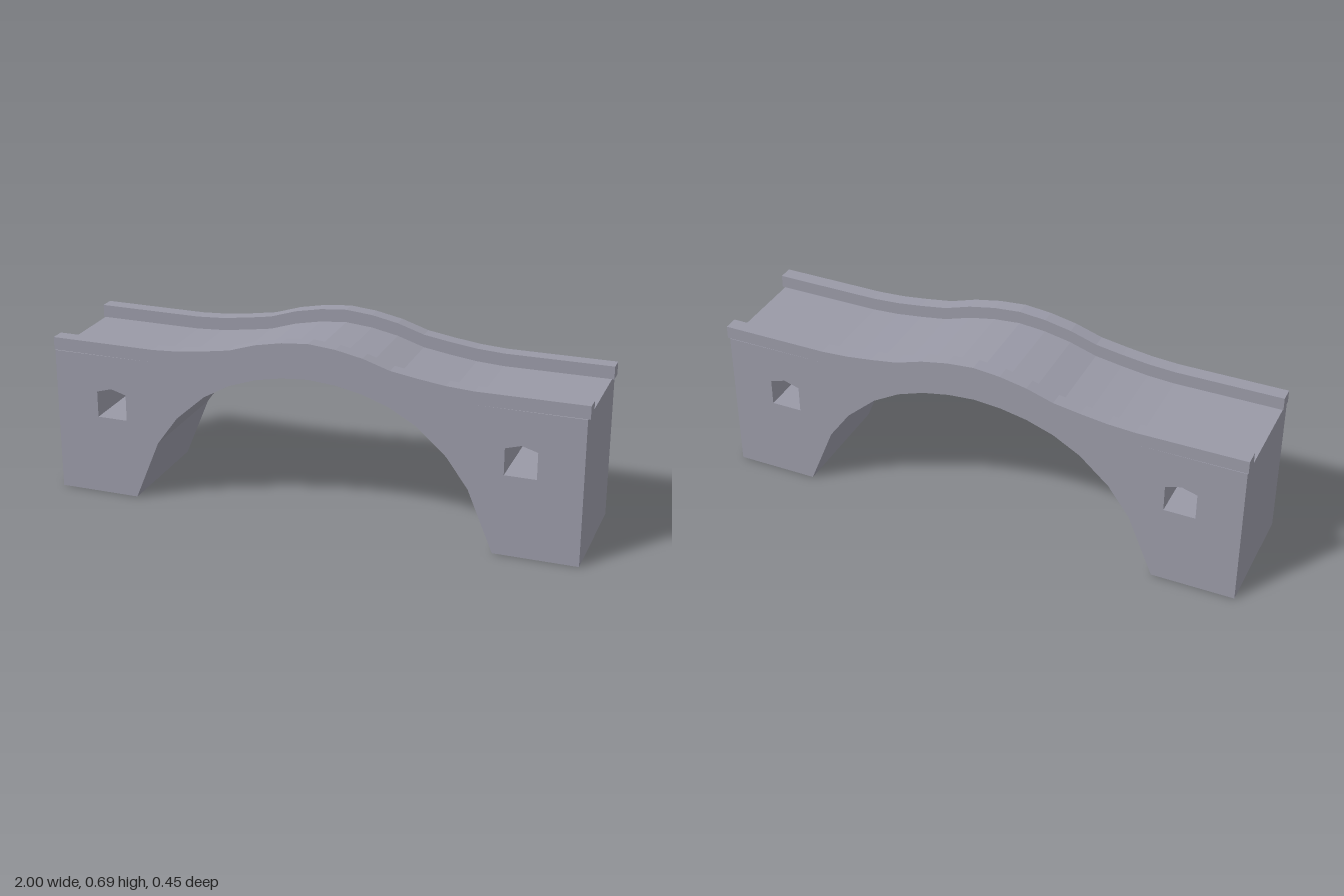
import * as THREE from 'three';

const HALF_DEPTH = 0.226;   // half width of the bridge
const CURB_WIDTH = 0.054;
const CURB_HEIGHT = 0.048;

// right halves of the roadway hump and the arch opening, from the crown outwards
const HUMP = [[0, 0.643], [0.1, 0.634], [0.2, 0.614], [0.3, 0.582], [0.4, 0.566], [0.5, 0.553], [0.6, 0.547]];
const ARCH = [[0, 0.558], [0.1, 0.55], [0.2, 0.53], [0.3, 0.495], [0.4, 0.438], [0.51, 0.34], [0.59, 0.23], [0.685, 0]];

// full left-to-right line from a mirrored half
const mirrored = (half, shift = 0) => [
  ...half.slice(1).reverse().map(([x, y]) => [-x + shift, y]),
  ...half.map(([x, y]) => [x + shift, y]),
];
const toPoints = (list) => list.map(([x, y]) => new THREE.Vector2(x, y));

// small opening with a pointed head
function windowHole(x) {
  return new THREE.Path(toPoints([
    [x - 0.058, 0.303], [x - 0.058, 0.403], [x, 0.42], [x + 0.058, 0.403], [x + 0.058, 0.303],
  ]));
}

function extruded(shape, depth, material, name) {
  const geometry = new THREE.ExtrudeGeometry(shape, { depth, bevelEnabled: false });
  geometry.translate(0, 0, -depth / 2);
  const mesh = new THREE.Mesh(geometry, material);
  mesh.name = name;
  return mesh;
}

export function createModel() {
  const group = new THREE.Group();
  group.name = 'archBridge';
  const stone = new THREE.MeshStandardMaterial({ color: 0x9999a6 });
  stone.name = 'greyStone';

  // arch, piers and roadway in one solid
  const left = -0.997, right = 0.991;
  const road = mirrored(HUMP);
  const body = new THREE.Shape(toPoints([
    [left, 0], ...mirrored(ARCH, -0.003), [right, 0],
    [right, 0.546], ...road.slice().reverse(), [left, 0.546],
  ]));
  body.holes.push(windowHole(-0.775), windowHole(0.771));
  group.add(extruded(body, HALF_DEPTH * 2, stone, 'bridgeBody'));

  // raised curbs that follow the roadway along both sides
  const line = [[-1, 0.548], ...road, [1, 0.548]];
  const curb = new THREE.Shape(toPoints([
    ...line, ...line.map(([x, y]) => [x, y + CURB_HEIGHT]).reverse(),
  ]));
  for (const [side, name] of [[1, 'frontCurb'], [-1, 'backCurb']]) {
    const mesh = extruded(curb, CURB_WIDTH, stone, name);
    mesh.position.z = side * (HALF_DEPTH - CURB_WIDTH / 2);
    group.add(mesh);
  }
  return group;
}
